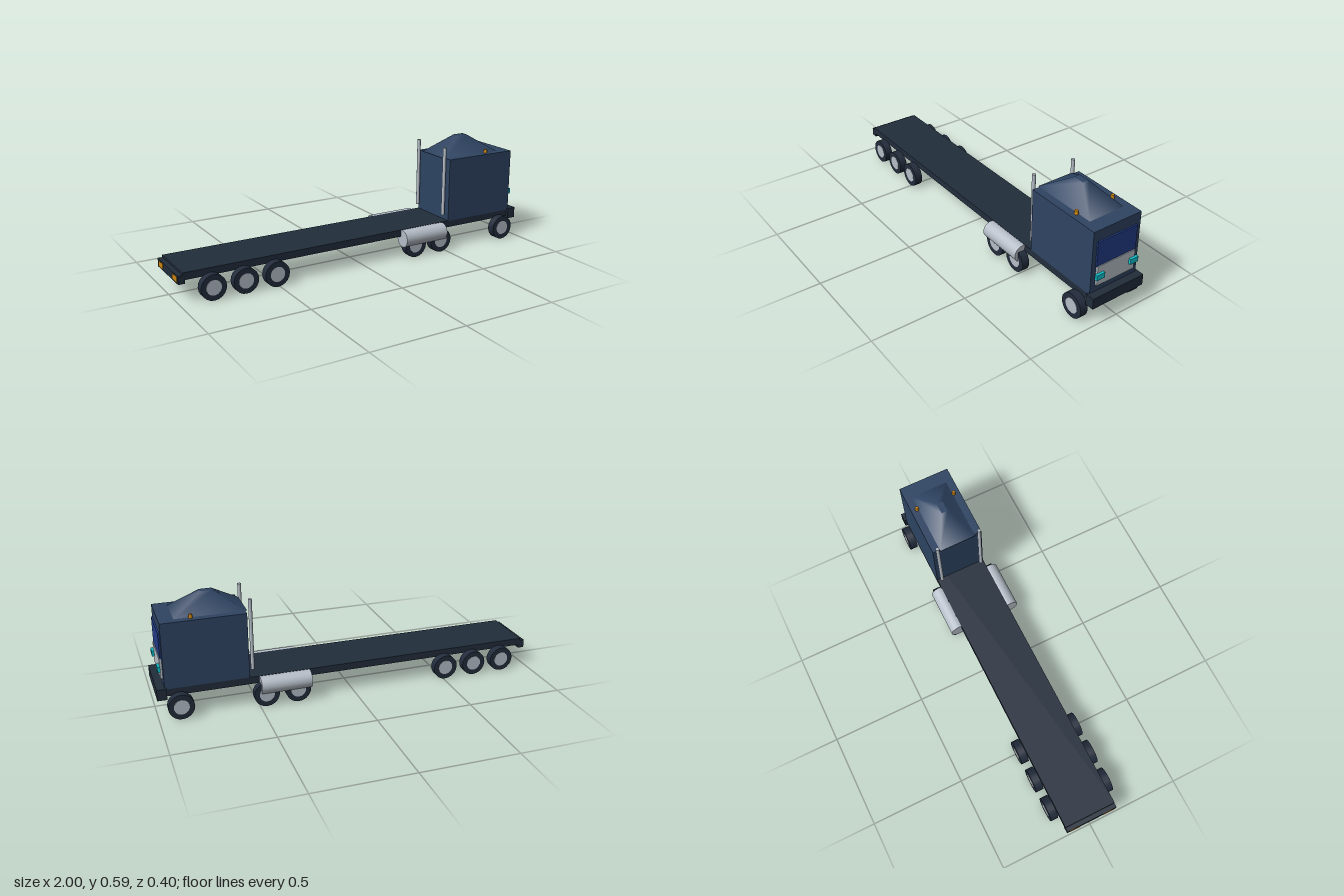
import * as THREE from 'three';

export function createModel() {
  const truck = new THREE.Group();
  truck.name = 'flatbedTruck';

  const paint = (name, color) => {
    const m = new THREE.MeshStandardMaterial({ color });
    m.name = name;
    return m;
  };
  const navy = paint('navyPaint', 0x2e4463);
  const dark = paint('darkChassis', 0x222d3c);
  const rubber = paint('tyreRubber', 0x222c3c);
  const metal = paint('paleMetal', 0xb6bec8);
  const glass = paint('blueGlass', 0x223c85);
  const cyan = paint('cyanLamp', 0x10c4d0);
  const amber = paint('amberLamp', 0xcc860f);

  const add = (name, geometry, material, x, y, z) => {
    const mesh = new THREE.Mesh(geometry, material);
    mesh.name = name;
    mesh.position.set(x, y, z);
    truck.add(mesh);
    return mesh;
  };
  // Box given by its limits on each axis
  const box = (name, material, [x0, x1], [y0, y1], [z0, z1]) =>
    add(name, new THREE.BoxGeometry(x1 - x0, y1 - y0, z1 - z0), material,
      (x0 + x1) / 2, (y0 + y1) / 2, (z0 + z1) / 2);

  // Chassis and bumpers
  box('flatbedDeck', dark, [-0.975, 0.96], [0.115, 0.152], [-0.14, 0.14]);
  box('rearBumper', dark, [-0.998, -0.965], [0.097, 0.14], [-0.14, 0.14]);
  box('frontBumper', dark, [0.952, 1], [0.102, 0.16], [-0.153, 0.153]);

  // Cab with windscreen and grille
  box('cab', navy, [0.54, 0.96], [0.15, 0.492], [-0.14, 0.14]);
  box('windscreen', glass, [0.96, 0.968], [0.303, 0.434], [-0.117, 0.117]);
  box('grille', metal, [0.96, 0.972], [0.198, 0.304], [-0.112, 0.112]);

  // Roof fairing: smooth-shaded four-sided frustum
  const fairing = new THREE.CylinderGeometry(0.17, 1, 0.095, 4);
  fairing.rotateY(Math.PI / 4);
  fairing.scale(0.178 * Math.SQRT2, 1, 0.1 * Math.SQRT2);
  add('roofFairing', fairing, navy, 0.709, 0.5395, 0);

  const tyre = new THREE.CylinderGeometry(0.065, 0.065, 0.041, 20).rotateX(Math.PI / 2);
  const hub = new THREE.CylinderGeometry(0.039, 0.039, 0.043, 14).rotateX(Math.PI / 2);
  const tank = new THREE.CylinderGeometry(0.046, 0.046, 0.26, 24).rotateZ(Math.PI / 2);
  const pipe = new THREE.CylinderGeometry(0.0095, 0.0095, 0.372, 12);
  const beacon = new THREE.CylinderGeometry(0.0085, 0.0105, 0.02, 10);

  for (const side of [1, -1]) {
    const label = side > 0 ? 'Left' : 'Right';
    const span = (a, b) => (side > 0 ? [a, b] : [-b, -a]);

    // Wheels
    [-0.84, -0.675, -0.51, 0.302, 0.465, 0.89].forEach((x, i) => {
      add(`tyre${label}${i + 1}`, tyre, rubber, x, 0.065, side * 0.16);
      add(`hub${label}${i + 1}`, hub, metal, x, 0.065, side * 0.16);
    });

    // Fuel tank, exhaust stack and lamps
    add(`fuelTank${label}`, tank, metal, 0.363, 0.107, side * 0.154);
    add(`exhaustStack${label}`, pipe, metal, 0.519, 0.371, side * 0.118);
    add(`roofLamp${label}`, beacon, amber, 0.807, 0.502, side * 0.107);
    box(`headlamp${label}`, cyan, [0.97, 0.984], [0.238, 0.267], span(0.077, 0.125));
    box(`tailLamp${label}`, amber, [-1, -0.995], [0.104, 0.132], span(0.066, 0.126));
  }
  return truck;
}
